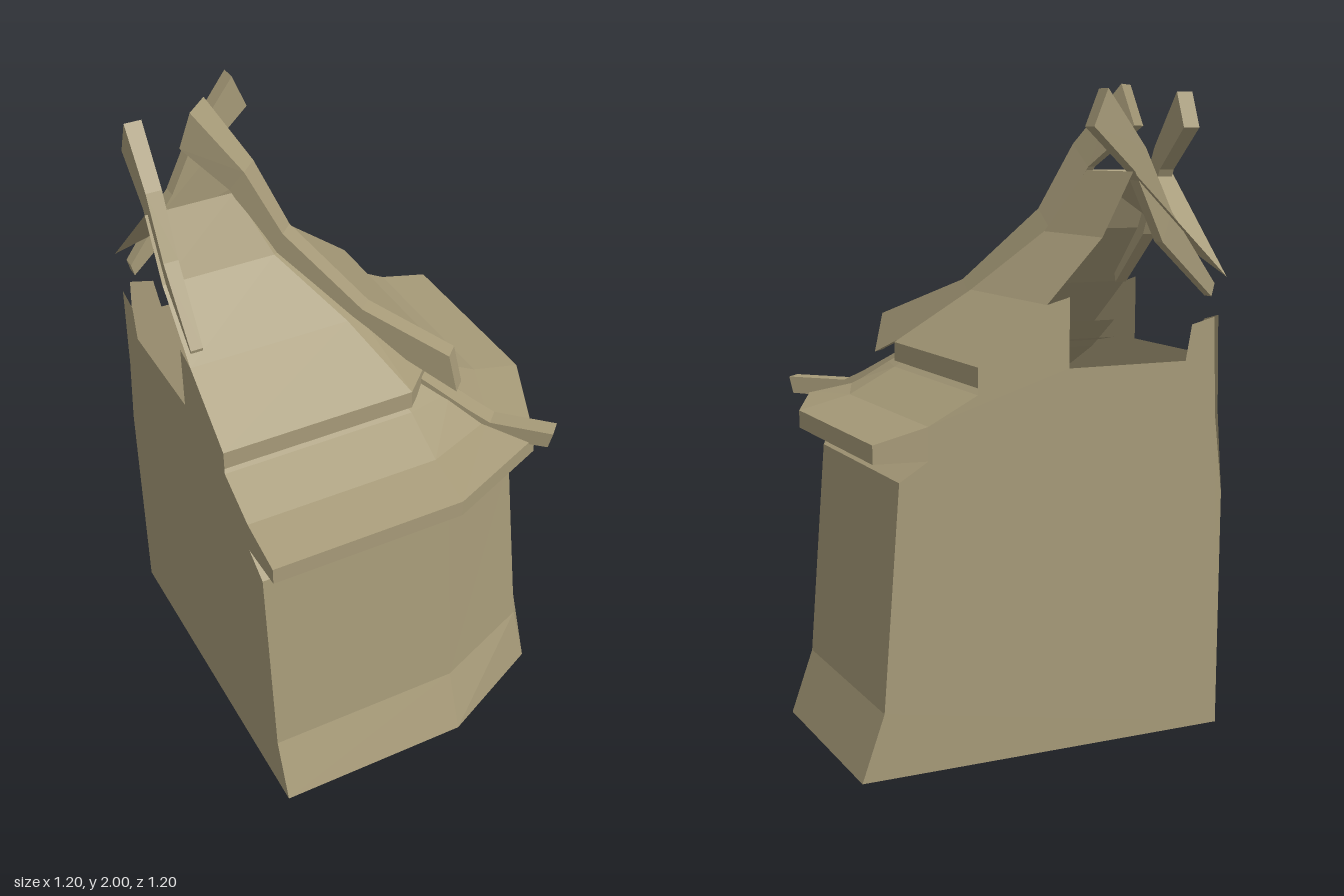
import * as THREE from 'three';

const BACK = -0.6; // both flat cut planes sit at x = BACK and z = BACK

// Flat-shaded geometry from a list of triangles, skipping empty ones
function facets(tris) {
  const pos = [];
  const t = new THREE.Triangle();
  for (const [a, b, c] of tris) {
    t.set(new THREE.Vector3(...a), new THREE.Vector3(...b), new THREE.Vector3(...c));
    if (t.getArea() > 1e-7) pos.push(...a, ...b, ...c);
  }
  const g = new THREE.BufferGeometry();
  g.setAttribute('position', new THREE.Float32BufferAttribute(pos, 3));
  g.computeVertexNormals();
  return g;
}

// Joins rows of points into quads
function loft(rows, closed = false) {
  const tris = [];
  for (let i = 0; i < rows.length - 1; i++) {
    const n = rows[i].length;
    for (let j = 0; j < (closed ? n : n - 1); j++) {
      const k = (j + 1) % n;
      const a = rows[i][j], b = rows[i][k], c = rows[i + 1][k], d = rows[i + 1][j];
      tris.push([a, b, c], [a, c, d]);
    }
  }
  return tris;
}

// Quarter outline at one height: d = face distance, k = where the chamfer starts, m = corner
function ring([d, y, k, m]) {
  return [[BACK, y, d], [k, y, d], [m, y, m], [d, y, k], [d, y, BACK]];
}

// Bent beam along u: sections of [uTop, yTop, uBottom, yBottom, halfWidth], drawn in the z-y plane
function beam(sections) {
  const rows = sections.map(([ut, yt, ub, yb, w]) => [
    [-w, yb, ub], [w, yb, ub], [w, yt, ut], [-w, yt, ut],
  ]);
  const tris = loft(rows, true);
  for (const r of [rows[0], rows[rows.length - 1]]) tris.push([r[0], r[2], r[1]], [r[0], r[3], r[2]]);
  return facets(tris);
}

export function createModel() {
  const group = new THREE.Group();
  const stone = new THREE.MeshStandardMaterial({ color: 0xa69a78, side: THREE.DoubleSide });
  stone.name = 'sandstone';
  const add = (name, geometry) => {
    const mesh = new THREE.Mesh(geometry, stone);
    mesh.name = name;
    group.add(mesh);
    return mesh;
  };

  // Flared chamfered walls, open underneath
  add('towerWall', facets(loft([
    [0.6, 0, 0.04, 0.415], [0.53, 0.2, 0.04, 0.385], [0.48, 0.875, 0.04, 0.345], [0.39, 0.93, 0.04, 0.27],
  ].map(ring))));

  // Lower roof tier with its eave
  add('lowerRoof', facets(loft([
    [0.39, 0.93, 0.04, 0.27], [0.56, 0.935, 0.04, 0.4], [0.56, 0.99, 0.04, 0.4],
    [0.39, 1.03, 0.04, 0.29], [0.235, 1.11, 0.04, 0.2], [0.08, 1.22, -0.02, 0.05],
  ].map(ring))));

  // Upper roof tier, curving up to the crown
  const crown = [-0.265, 1.74, -0.31, -0.28];
  add('upperRoof', facets(loft([
    [0.08, 1.16, -0.02, 0.05], [0.235, 1.13, 0.04, 0.1375], [0.235, 1.19, 0.04, 0.1375],
    [0.015, 1.36, -0.07, -0.02], [-0.165, 1.55, -0.23, -0.19], crown,
  ].map(ring))));

  // Sunken funnel inside the crown
  add('crownFunnel', facets(loft([crown, [BACK, 1.42, BACK, BACK]].map(ring))));

  // Flat cut walls with a notch under the roof and a slit at the corner
  const outline = [
    [-0.6, 0], [0.6, 0], [0.53, 0.2], [0.48, 0.875], [0.39, 0.93], [0.56, 0.935], [0.56, 0.99],
    [0.39, 1.03], [0.235, 1.11], [0.235, 1.19], [0.015, 1.36], [-0.06, 1.38], [-0.06, 1.17],
    [-0.46, 1.17], [-0.48, 1.28], [-0.56, 1.3], [-0.57, 1.0], [-0.6, 0.75],
  ].map(([u, y]) => new THREE.Vector2(u, y));
  const faces = THREE.ShapeUtils.triangulateShape(outline, []);
  const cutWall = (place, flip) => facets(faces.map((f) => {
    const t = f.map((i) => place(outline[i].x, outline[i].y));
    return flip ? t.reverse() : t;
  }));
  add('backCutWall', cutWall((u, y) => [u, y, BACK], true));
  add('sideCutWall', cutWall((u, y) => [BACK, y, u], false));

  // Ridge beams along the diagonal hip
  const diagonal = (s) => s.map(([ut, yt, ub, yb, w]) => [ut * Math.SQRT2, yt, ub * Math.SQRT2, yb, w]);
  const upperRidge = diagonal([
    [0.2, 1.27, 0.22, 1.14, 0.03], [0, 1.39, -0.02, 1.32, 0.03], [-0.18, 1.62, -0.21, 1.55, 0.032],
    [-0.26, 1.82, -0.295, 1.75, 0.04], [-0.37, 2, -0.4, 1.875, 0.055],
  ]);
  const lowerRidge = diagonal([
    [0.07, 1.22, 0.07, 1.14, 0.03], [0.25, 1.075, 0.24, 1.01, 0.03],
    [0.3, 1.04, 0.29, 0.98, 0.03], [0.445, 1.04, 0.435, 0.985, 0.03],
  ]);
  add('upperRidge', beam(upperRidge)).rotation.y = Math.PI / 4;
  add('lowerRidge', beam(lowerRidge)).rotation.y = Math.PI / 4;

  // Horned rafters: one follows the front slope, its twin crosses the back the other way
  const horn = [
    [-0.01, 1.4, -0.02, 1.36, 0.02], [-0.17, 1.62, -0.2, 1.53, 0.024],
    [-0.265, 1.81, -0.3, 1.74, 0.026], [-0.395, 1.98, -0.44, 1.87, 0.028],
  ];
  const frontHorn = add('frontHorn', beam(horn));
  frontHorn.position.x = -0.565;
  const backHorn = add('backHorn', beam(horn));
  backHorn.rotation.y = -Math.PI / 2;
  backHorn.position.set(-0.58, 0, -0.56);

  return group;
}
